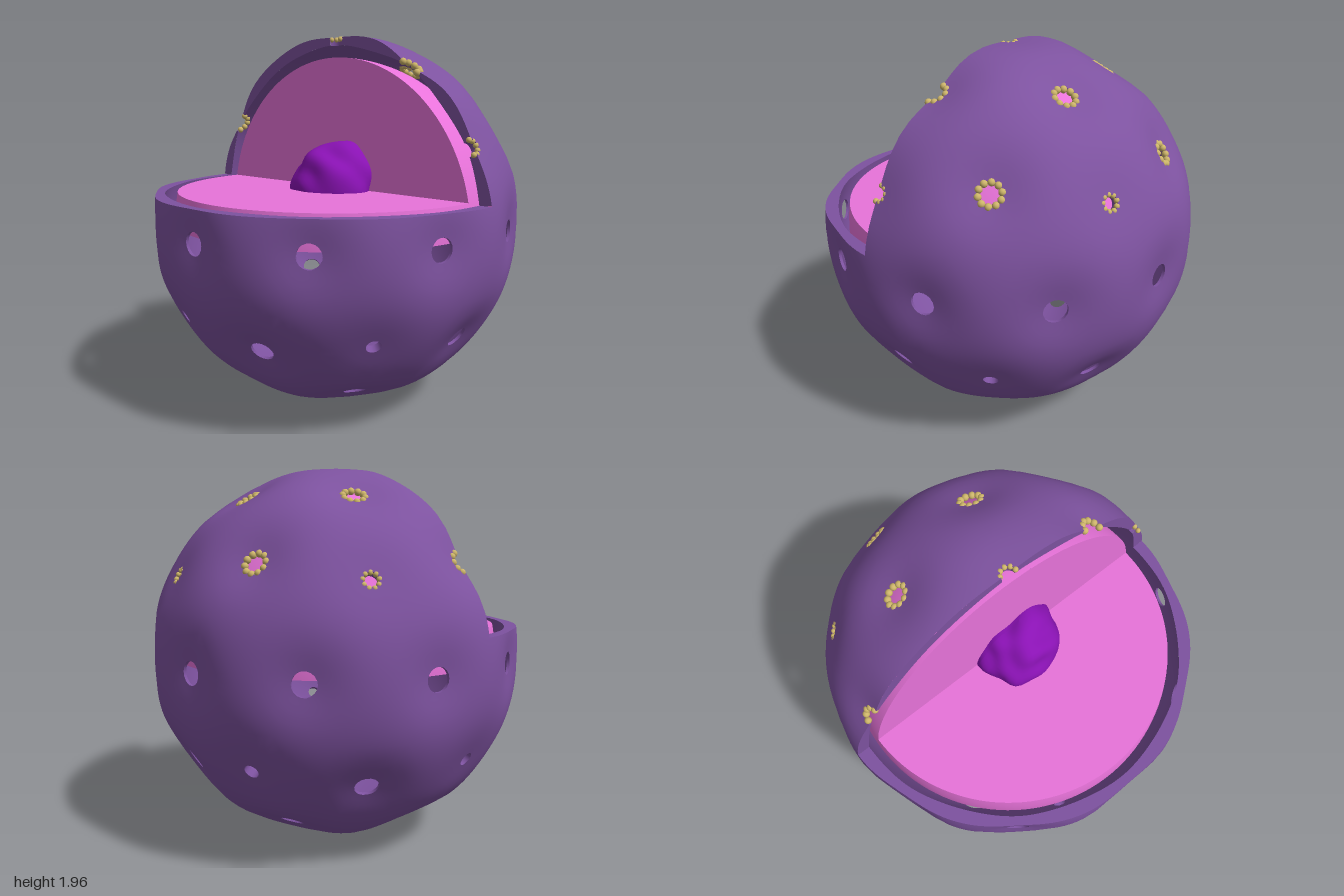
import * as THREE from 'three';

const CENTRE_Y = 0.995, CUT = 0.165;      // quarter above CUT and in front of z = 0 is open
const N = 16, K = 3;                      // grid per patch, rings removed for a pore
const SIGMA = 0.18;                       // width of the dent around a pore
const OUTER = { base: 1.0, sign: -1 }, INNER = { base: 0.93, sign: 0.5 };
const V = (x, y, z) => new THREE.Vector3(x, y, z);
const mat = (color, extra = {}) => new THREE.MeshStandardMaterial({ color, ...extra });

// Pores sit on the corners (small) and edge middles (large) of an icosahedron
function porePattern() {
  const pores = new Map();
  const pore = (dir, radius, depth) => {
    dir.normalize();
    const key = dir.toArray().map(c => Math.round(c * 1000) + 0).join();
    if (!pores.has(key)) pores.set(key, { dir, radius, depth });
    return pores.get(key);
  };
  const corner = (y, deg) => {
    const a = deg * Math.PI / 180;
    return pore(V(2 * Math.cos(a), y, 2 * Math.sin(a)), 0.038, 0.02);
  };
  const top = pore(V(0, 1, 0), 0.038, 0.02), bottom = pore(V(0, -1, 0), 0.038, 0.02);
  const patches = [];
  const face = (a, b, c) => {
    if (a.dir.dot(b.dir.clone().cross(c.dir)) < 0) [b, c] = [c, b];
    const mid = (p, q) => pore(p.dir.clone().add(q.dir), 0.061, 0.042);
    const ab = mid(a, b), bc = mid(b, c), ca = mid(c, a);
    patches.push([a, ab, ca], [ab, b, bc], [ca, bc, c], [ab, bc, ca]);
  };
  for (let k = 0; k < 5; k++) {
    const u0 = corner(1, 72 * k), u1 = corner(1, (72 * k + 72) % 360);
    const l0 = corner(-1, 72 * k + 36), l1 = corner(-1, (72 * k + 108) % 360);
    face(top, u0, u1); face(u0, l0, u1); face(l0, u1, l1); face(bottom, l0, l1);
  }
  return { pores: [...pores.values()], patches };
}

// Point and normal [x,y,z,nx,ny,nz] of a membrane in a direction
function membrane(pores, dir, layer) {
  let r = layer.base;
  const slope = V(0, 0, 0);
  for (const p of pores) {
    const dot = dir.dot(p.dir), g = layer.sign * p.depth * Math.exp(-2 * (1 - dot) / SIGMA ** 2);
    r += g;
    slope.addScaledVector(p.dir, g * 2 / SIGMA ** 2).addScaledVector(dir, -dot * g * 2 / SIGMA ** 2);
  }
  const n = dir.clone().addScaledVector(slope, -1 / r).normalize();
  if (layer === INNER) n.negate();
  return [...dir.clone().multiplyScalar(r).toArray(), ...n.toArray()];
}

// Keep the part of a polygon where f >= 0
function clip(poly, f) {
  const out = [];
  poly.forEach((p, i) => {
    const q = poly[(i + 1) % poly.length], a = f(p), b = f(q);
    if (a >= 0) out.push(p);
    if ((a > 0 && b < 0) || (a < 0 && b > 0)) out.push(p.map((c, j) => c + (q[j] - c) * a / (a - b)));
  });
  return out;
}

function shellGeometry({ pores, patches }) {
  const pos = [], nor = [];
  const emit = poly => {
    for (let i = 1; i + 1 < poly.length; i++)
      for (const v of [poly[0], poly[i], poly[i + 1]]) {
        pos.push(v[0], v[1], v[2]);
        nor.push(v[3], v[4], v[5]);
      }
  };
  const add = (...poly) => {
    if (poly.every(v => v[1] <= CUT) || poly.every(v => v[2] <= 0)) return emit(poly);
    emit(clip(poly, v => -v[2]));
    emit(clip(clip(poly, v => v[2]), v => CUT - v[1]));
  };

  // Both membranes, with the grid pulled into round pores, and the pore walls
  for (const patch of patches) {
    const cache = new Map();
    const point = w => {
      const key = w.join();
      if (cache.has(key)) return cache.get(key);
      const d = V(0, 0, 0);
      w.forEach((c, i) => d.addScaledVector(patch[i].dir, c));
      d.normalize();
      const i = w.findIndex(c => c > N / 2 && c < N);
      if (i >= 0) {
        const { dir, radius } = patch[i], t = Math.max(0, (N - w[i] - K) / (N / 2 - K));
        const angle = THREE.MathUtils.lerp(radius, d.angleTo(dir), t ** 1.3);
        d.addScaledVector(dir, -d.dot(dir)).normalize().multiplyScalar(Math.sin(angle));
        d.addScaledVector(dir, Math.cos(angle));
      }
      const pair = [membrane(pores, d, OUTER), membrane(pores, d, INNER)];
      cache.set(key, pair);
      return pair;
    };
    const tri = (...ws) => {
      if ([0, 1, 2].some(i => ws.every(w => w[i] >= N - K))) return;
      const [a, b, c] = ws.map(point);
      add(a[0], b[0], c[0]);
      add(a[1], c[1], b[1]);
    };
    for (let i = 0; i < N; i++)
      for (let j = 0; i + j < N; j++) {
        const w = (b, c) => [N - b - c, b, c];
        tri(w(i, j), w(i + 1, j), w(i, j + 1));
        if (i + j < N - 1) tri(w(i + 1, j), w(i + 1, j + 1), w(i, j + 1));
      }
    for (let i = 0; i < 3; i++)
      for (let t = 0; t < K; t++) {
        const [p, q] = [t, t + 1].map(s => {
          const w = [0, 0, 0];
          w[i] = N - K; w[(i + 1) % 3] = K - s; w[(i + 2) % 3] = s;
          return point(w).map(v => {
            const d = V(v[0], v[1], v[2]), axis = patch[i].dir;
            const n = axis.clone().multiplyScalar(d.dot(axis)).sub(d).normalize();
            return [v[0], v[1], v[2], n.x, n.y, n.z];
          });
        });
        add(p[0], q[0], q[1], p[1]);
      }
  }

  // Flat cut rims: upright arch, interrupted by the pores on it, and level half ring
  const rim = (from, to, steps, at, n) => {
    for (let s = 0; s < steps; s++) {
      const [a, b] = [s, s + 1].map(k => from + (to - from) * k / steps);
      emit([at(a, OUTER), at(b, OUTER), at(b, INNER), at(a, INNER)].map(v => [v[0], v[1], v[2], ...n]));
    }
  };
  const arch = (a, layer) => membrane(pores, V(Math.cos(a), Math.sin(a), 0), layer);
  const level = (a, layer) => {
    let e = CUT, v;
    for (let i = 0; i < 6; i++) {
      v = membrane(pores, V(Math.cos(a) * Math.cos(e), Math.sin(e), Math.sin(a) * Math.cos(e)), layer);
      e = Math.asin(CUT / Math.hypot(v[0], v[1], v[2]));
    }
    return v;
  };
  let start = Math.asin(CUT / 0.97);
  const end = Math.PI - start;
  pores.filter(p => Math.abs(p.dir.z) < 1e-6 && p.dir.y > 0.2)
    .map(p => [Math.atan2(p.dir.y, p.dir.x), p.radius]).sort((a, b) => a[0] - b[0])
    .forEach(([a, r]) => { rim(start, a - r, 16, arch, [0, 0, 1]); start = a + r; });
  rim(start, end, 16, arch, [0, 0, 1]);
  rim(Math.PI, 0, 96, level, [0, 1, 0]);

  const g = new THREE.BufferGeometry();
  g.setAttribute('position', new THREE.Float32BufferAttribute(pos, 3));
  g.setAttribute('normal', new THREE.Float32BufferAttribute(nor, 3));
  return g;
}

export function createModel() {
  const model = new THREE.Group();
  model.name = 'cutawayNucleus';
  const body = new THREE.Group();
  body.name = 'nucleus';
  body.position.y = CENTRE_Y;
  model.add(body);
  const mesh = (name, geometry, material, parent = body) => {
    const m = new THREE.Mesh(geometry, material);
    m.name = name;
    parent.add(m);
    return m;
  };

  const pattern = porePattern();
  mesh('porousEnvelope', shellGeometry(pattern), mat(0x7d529f));

  // Beads around the pores of the upper back quarter
  const beads = new THREE.Group();
  beads.name = 'poreBeads';
  body.add(beads);
  const gold = mat(0xcdb56a);
  for (const { dir, radius, depth } of pattern.pores) {
    if (dir.y < 0.2 || dir.z > 0.01) continue;
    const large = radius > 0.05, count = large ? 10 : 9;
    const ball = new THREE.SphereGeometry(large ? 0.018 : 0.014, 12, 8);
    const turn = new THREE.Quaternion().setFromUnitVectors(V(0, 0, 1), dir);
    for (let i = 0; i < count; i++) {
      const a = i / count * Math.PI * 2, r = large ? 0.054 : 0.039;
      const p = V(r * Math.cos(a), r * Math.sin(a), 0.985 - depth * 0.75).applyQuaternion(turn);
      if (p.z < 0.012) mesh('bead', ball, gold, beads).position.copy(p);
    }
  }

  // Inner filling: upper half ball with its front quarter cut down to a slab
  const filling = new THREE.Group();
  filling.name = 'filling';
  body.add(filling);
  const pink = mat(0xe873da);
  const R = 0.875, top = CUT + 0.005, a0 = Math.asin(top / R), H = Math.PI / 2;
  mesh('fillingBack', new THREE.SphereGeometry(R, 64, 32, Math.PI, Math.PI, 0, H), pink, filling);
  mesh('fillingFrontEdge', new THREE.SphereGeometry(R, 64, 6, 0, Math.PI, H - a0, a0), pink, filling);
  mesh('fillingUnderside', new THREE.CircleGeometry(R, 96).rotateX(H), pink, filling);
  const floor = new THREE.CircleGeometry(R * Math.cos(a0), 64, Math.PI, Math.PI).rotateX(-H);
  mesh('fillingFloor', floor.translate(0, top, 0), pink, filling);
  const wall = new THREE.Shape().absarc(0, 0, R, a0, Math.PI - a0, false);
  mesh('fillingWall', new THREE.ShapeGeometry(wall, 64), pink, filling);

  // Lumpy core
  const lump = new THREE.SphereGeometry(1, 48, 32);
  const p = lump.attributes.position, v = V(0, 0, 0);
  for (let i = 0; i < p.count; i++) {
    v.fromBufferAttribute(p, i);
    const bump = Math.sin(5 * v.x + 2 * v.y + 1) * Math.sin(4 * v.y - 3 * v.z + 0.5)
      + 0.6 * Math.sin(8 * v.z + 3 * v.x) * Math.cos(7 * v.y + 4 * v.x);
    v.multiplyScalar(0.235 + 0.016 * bump);
    v.x += 0.12 * v.y;
    p.setXYZ(i, v.x, v.y, v.z);
  }
  lump.computeVertexNormals();
  mesh('core', lump, mat(0x8a12b4)).position.set(0.025, 0.19, 0.02);
  return model;
}
